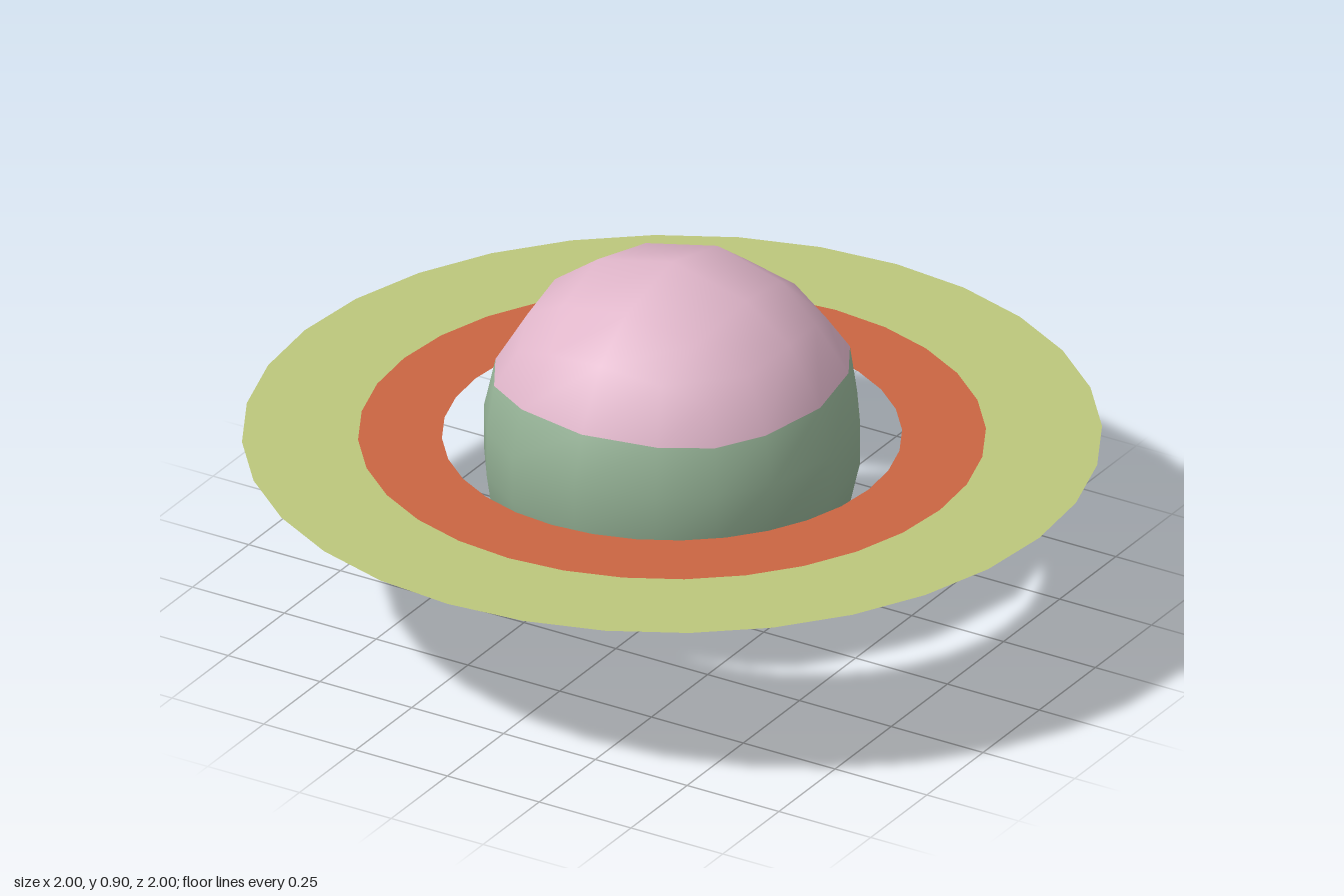
import * as THREE from 'three';

const R = 0.451;       // planet radius
const BAND = 0.178;    // half height of the flat-edged belt

const mat = (name, color, side = THREE.FrontSide) => {
  const m = new THREE.MeshStandardMaterial({ color, side });
  m.name = name;
  return m;
};

// Box grid rounded into a sphere, with level belt rows and a doubled equator
function planetGeometry() {
  const geo = new THREE.BoxGeometry(2, 2, 2, 4, 5, 4);
  const pos = geo.attributes.position, nor = geo.attributes.normal;
  const rows = [];
  const p = new THREE.Vector3(), equator = new THREE.Vector3();
  for (let i = 0; i < pos.count; i++) {
    const x = pos.getX(i), y = pos.getY(i), z = pos.getZ(i);
    const s = Math.sign(y);
    rows.push(y);
    if (Math.abs(y) > 0.8) {
      p.set(x, s, z).setLength(R);
    } else {
      p.set(x, 0.5 * s, z).setLength(R);
      p.y = s * BAND;
      if (Math.abs(y) < 0.4) p.lerp(equator.set(x, 0, z).setLength(R), 2 / 3);
    }
    pos.setXYZ(i, p.x, p.y, p.z);
    p.normalize();
    nor.setXYZ(i, p.x, p.y, p.z);
  }
  return { geo, rows };
}

// Keeps only the triangles whose original rows pass the test
function pick({ geo, rows }, test) {
  const all = geo.index.array, kept = [];
  for (let i = 0; i < all.length; i += 3) {
    const tri = [all[i], all[i + 1], all[i + 2]];
    if (test(tri.map((v) => rows[v]))) kept.push(...tri);
  }
  const part = geo.clone();
  part.clearGroups();
  part.setIndex(kept);
  return part;
}

export function createModel() {
  const model = new THREE.Group();
  model.name = 'ringedPlanet';
  const pink = mat('pink', 0xe0b6ca);
  const green = mat('sageGreen', 0x93b094);
  const orange = mat('burntOrange', 0xca6542, THREE.DoubleSide);
  const olive = mat('paleOlive', 0xbcc67c, THREE.DoubleSide);

  const add = (name, geometry, material) => {
    const mesh = new THREE.Mesh(geometry, material);
    mesh.name = name;
    mesh.position.y = R;
    model.add(mesh);
  };

  // Planet: two caps and the belt
  const planet = planetGeometry();
  add('upperCap', pick(planet, (r) => Math.max(...r) > 0.8), pink);
  add('lowerCap', pick(planet, (r) => Math.min(...r) < -0.8), pink);
  add('belt', pick(planet, (r) => r.every((y) => Math.abs(y) < 0.8)), green);

  // Flat rings
  const ring = (inner, outer) =>
    new THREE.RingGeometry(inner, outer, 32).rotateX(-Math.PI / 2);
  add('innerRing', ring(0.535, 0.73), orange);
  add('outerRing', ring(0.73, 1), olive);

  return model;
}
